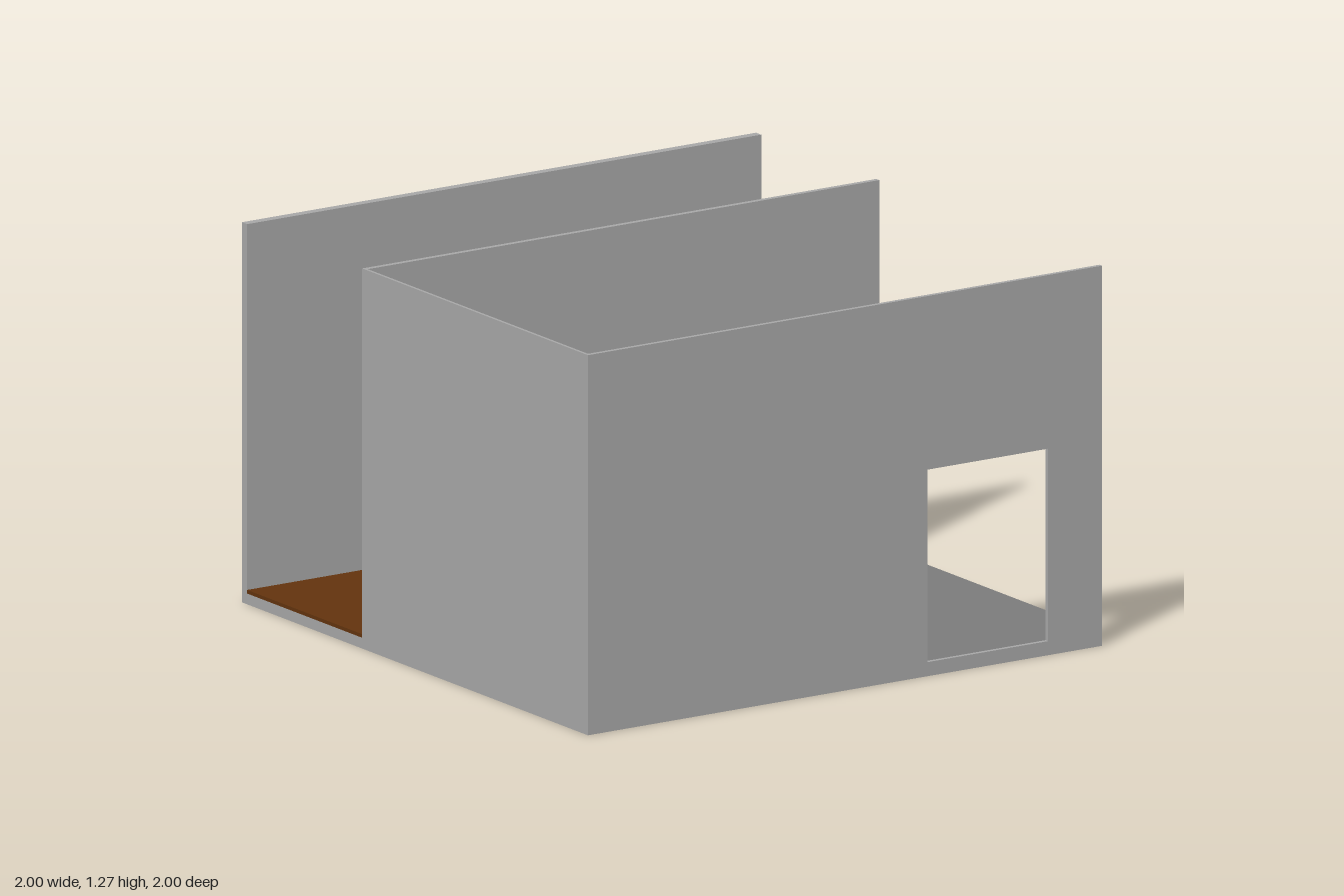
import * as THREE from 'three';

const mat = (name, color) => {
  const m = new THREE.MeshStandardMaterial({ color });
  m.name = name;
  return m;
};

export function createModel() {
  const plaster = mat('plaster grey', 0xa6a6a6);
  const concrete = mat('floor grey', 0x7b7b7b);
  const wood = mat('wood brown', 0x62330d);
  const group = new THREE.Group();
  const H = 1.27, FLOOR = 0.047, DOOR_TOP = 0.69;

  const add = (name, geometry, material) => {
    const mesh = new THREE.Mesh(geometry, material);
    mesh.name = name;
    group.add(mesh);
    return mesh;
  };

  // Box given by its minimum and maximum corners
  const block = (name, material, [x0, y0, z0], [x1, y1, z1]) =>
    add(name, new THREE.BoxGeometry(x1 - x0, y1 - y0, z1 - z0), material)
      .position.set((x0 + x1) / 2, (y0 + y1) / 2, (z0 + z1) / 2);

  // Full-width wall with a doorway cut through it
  const doorWall = (name, z0, z1, d0, d1) => {
    const shape = new THREE.Shape([[-1, 0], [1, 0], [1, H], [-1, H]].map(p => new THREE.Vector2(...p)));
    shape.holes.push(new THREE.Path(
      [[d0, FLOOR], [d0, DOOR_TOP], [d1, DOOR_TOP], [d1, FLOOR]].map(p => new THREE.Vector2(...p))));
    add(name, new THREE.ExtrudeGeometry(shape, { depth: z1 - z0, bevelEnabled: false }), plaster)
      .position.z = z0;
  };

  // Base slab, lower under the corridor boards
  block('roomBase', plaster, [-1, 0, -0.29], [1, 0.044, 0.99]);
  block('corridorBase', plaster, [-1, 0, -0.98], [1, 0.036, -0.3]);

  // Floor coverings
  block('roomFloor', concrete, [-0.99, 0.044, -0.287], [1, FLOOR, 0.985]);
  block('corridorFloor', wood, [-1, 0.036, -0.97], [1, 0.048, -0.305]);

  // Walls: front and middle have doorways, the +x side stays open
  doorWall('frontWall', 0.985, 1, 0.32, 0.79);
  doorWall('middleWall', -0.305, -0.287, -0.715, -0.24);
  block('backWall', plaster, [-1, 0, -1], [1, H, -0.97]);
  block('sideWall', plaster, [-1, 0, -0.287], [-0.99, H, 0.985]);

  return group;
}
